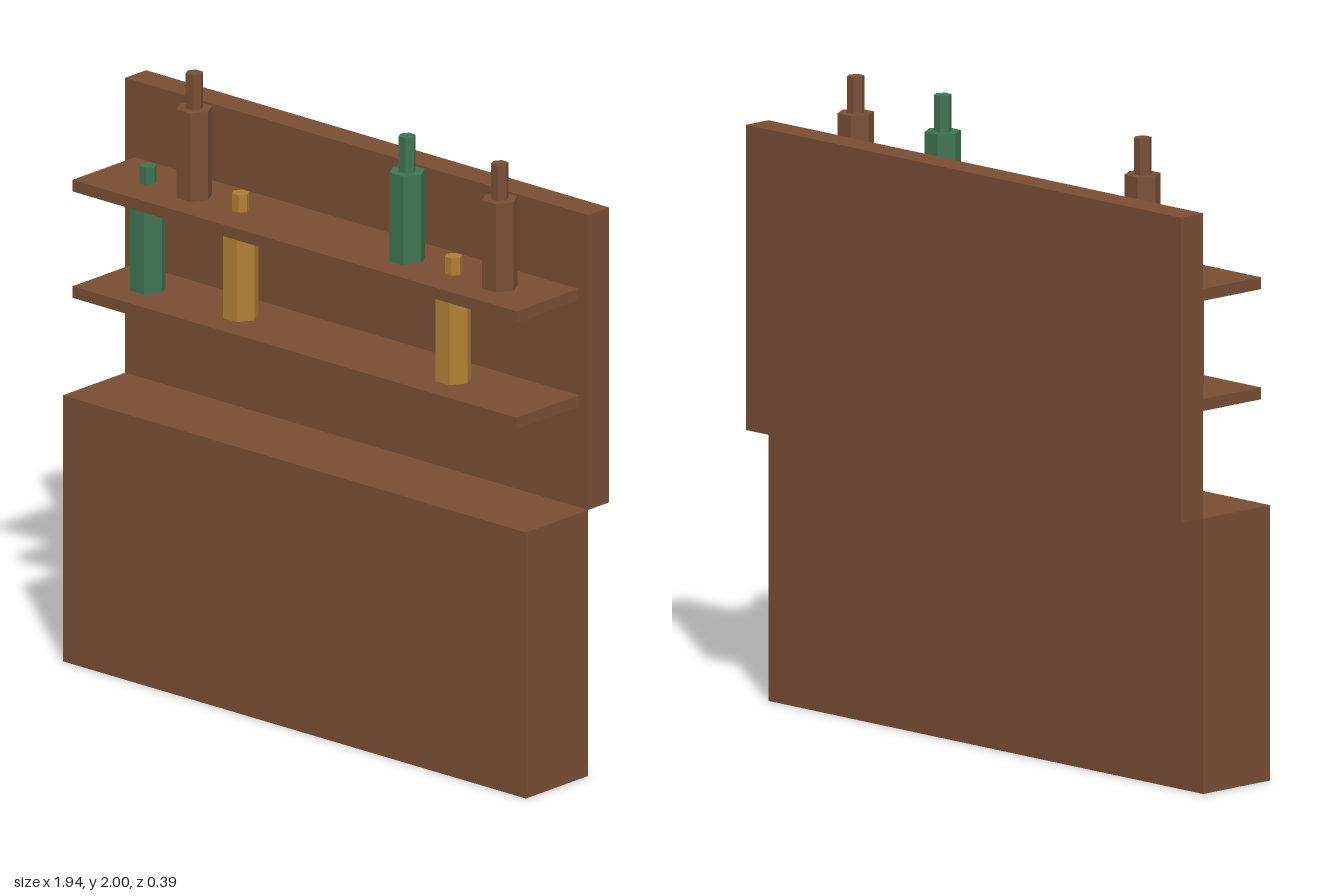
import * as THREE from 'three';

function material(name, color) {
  const m = new THREE.MeshStandardMaterial({ color, flatShading: true });
  m.name = name;
  return m;
}

export function createModel() {
  const root = new THREE.Group();
  root.name = 'barShelf';
  const wood = material('brown wood', 0x784e34);
  const green = material('green glass', 0x3f7350);
  const amber = material('amber glass', 0xb08032);

  // Box given by its half width and its y and z limits
  function board(name, halfWidth, y0, y1, z0, z1) {
    const mesh = new THREE.Mesh(new THREE.BoxGeometry(halfWidth * 2, y1 - y0, z1 - z0), wood);
    mesh.position.set(0, (y0 + y1) / 2, (z0 + z1) / 2);
    mesh.name = name;
    root.add(mesh);
  }

  board('counter', 0.97, 0, 0.875, -0.096, 0.193);
  board('backBoard', 0.97, 0.875, 1.845, -0.193, -0.096);
  board('lowerShelf', 0.93, 1.205, 1.243, -0.096, 0.193);
  board('upperShelf', 0.93, 1.555, 1.593, -0.096, 0.193);

  // Six-sided bottle: body and neck
  const bodyHeight = 0.291, neckHeight = 0.116;
  const bodyShape = new THREE.CylinderGeometry(0.058, 0.058, bodyHeight, 6)
    .rotateY(Math.PI / 6).translate(0, bodyHeight / 2, 0);
  const neckShape = new THREE.CylinderGeometry(0.028, 0.028, neckHeight, 6)
    .rotateY(Math.PI / 6).translate(0, bodyHeight + neckHeight / 2, 0);

  function bottle(x, y, glass) {
    const group = new THREE.Group();
    group.name = 'bottle';
    const body = new THREE.Mesh(bodyShape, glass);
    body.name = 'bottleBody';
    const neck = new THREE.Mesh(neckShape, glass);
    neck.name = 'bottleNeck';
    group.add(body, neck);
    group.position.set(x, y, 0.053);
    root.add(group);
  }

  // Lower row, whose necks pass through the upper shelf
  bottle(-0.74, 1.243, green);
  bottle(-0.352, 1.243, amber);
  bottle(0.54, 1.243, amber);
  // Upper row
  bottle(-0.546, 1.593, wood);
  bottle(0.346, 1.593, green);
  bottle(0.734, 1.593, wood);

  return root;
}
